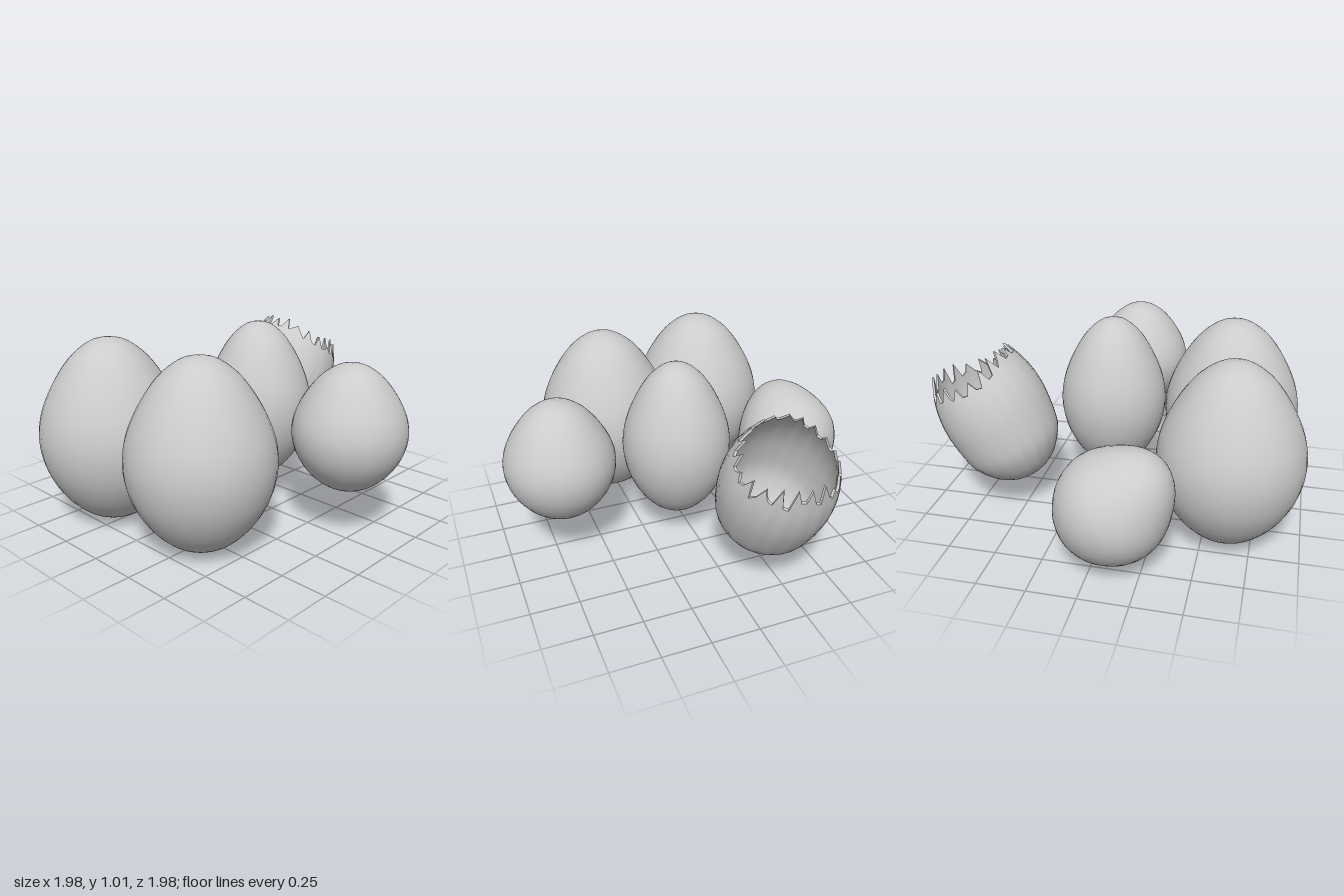
import * as THREE from 'three';
import { toCreasedNormals } from 'three/addons/utils/BufferGeometryUtils.js';

const material = new THREE.MeshStandardMaterial({ color: 0xcccccc });
const curve = (pairs) => new THREE.SplineCurve(pairs.map(([r, t]) => new THREE.Vector2(r, t)));

// Unit egg outline: radius 0..1, height 0..1
const eggCurve = curve([
  [0, 0], [0.2, 0.013], [0.4, 0.046], [0.575, 0.1], [0.735, 0.17], [0.885, 0.27], [0.97, 0.37],
  [1, 0.475], [0.965, 0.58], [0.875, 0.68], [0.74, 0.78], [0.58, 0.87], [0.42, 0.933], [0.22, 0.983], [0, 1],
]);

// Blunter outline for the broken shell, open at the top
const shellCurve = curve([
  [0, 0], [0.3, 0.02], [0.48, 0.05], [0.66, 0.1], [0.87, 0.2], [0.95, 0.3],
  [0.99, 0.41], [1, 0.5], [0.97, 0.6], [0.895, 0.7], [0.74, 0.83],
]);

// Whole egg, centred on its middle and optionally tilted forward
function egg(name, x, y, z, radius, length, tilt = 0) {
  const points = eggCurve.getPoints(42);
  points[0].x = points[42].x = 0;
  const geo = new THREE.LatheGeometry(points, 40);
  geo.translate(0, -0.5, 0).scale(radius, length, radius);
  const mesh = new THREE.Mesh(geo, material);
  mesh.name = name;
  mesh.position.set(x, y, z);
  mesh.rotation.x = tilt;
  return mesh;
}

// Hollow shell: outer wall up to a jagged rim, then inner wall back down
function brokenShell(radius, length) {
  const cols = 60, rows = 20;
  let seed = 11;
  const rand = () => (seed = (seed * 16807) % 2147483647) / 2147483647;
  const rim = Array.from({ length: cols }, (_, i) => {
    const phi = (i / cols) * Math.PI * 2;
    const tooth = (i % 3 === 0 ? 0.03 : -0.015) * (0.5 + rand());
    return Math.min(1, 0.93 + 0.025 * Math.cos(phi * 2) + 0.01 * Math.cos(phi) + tooth + (rand() - 0.5) * 0.03);
  });
  const blank = Array.from({ length: rows * 2 + 2 }, () => new THREE.Vector2(1, 0));
  const geo = new THREE.LatheGeometry(blank, cols);
  const pos = geo.attributes.position;
  for (let i = 0; i <= cols; i++) {
    const phi = ((i % cols) / cols) * Math.PI * 2;
    for (let j = 0; j < blank.length; j++) {
      const inner = j > rows;
      const step = inner ? blank.length - 1 - j : j;
      const p = shellCurve.getPoint((step / rows) * rim[i % cols]);
      const r = step === 0 ? 0 : p.x * radius * (inner ? 0.945 : 1);
      const lift = inner ? 0.016 * (1 - step / rows) : 0;
      pos.setXYZ(i * blank.length + j, r * Math.sin(phi), (p.y - 0.5) * length + lift, r * Math.cos(phi));
    }
  }
  geo.computeVertexNormals();
  const mesh = new THREE.Mesh(toCreasedNormals(geo, 0.7), material);
  mesh.name = 'brokenShell';
  return mesh;
}

export function createModel() {
  const group = new THREE.Group();
  group.name = 'eggCluster';
  group.add(
    egg('largeEggRight', -0.325, 0.49, 0.62, 0.375, 0.975),
    egg('largeEggLeft', 0.28, 0.49, 0.56, 0.373, 0.975),
    egg('tallEgg', 0.07, 0.578, -0.075, 0.287, 0.866),
    egg('smallEgg', 0.7, 0.575, -0.055, 0.287, 0.65),
    egg('tiltedEgg', -0.705, 0.357, 0.115, 0.287, 0.65, 0.75),
  );
  // Cracked open egg leaning back
  const shell = brokenShell(0.29, 0.866);
  shell.position.set(-0.23, 0.567, -0.668);
  shell.rotation.x = -0.47;
  group.add(shell);
  return group;
}
